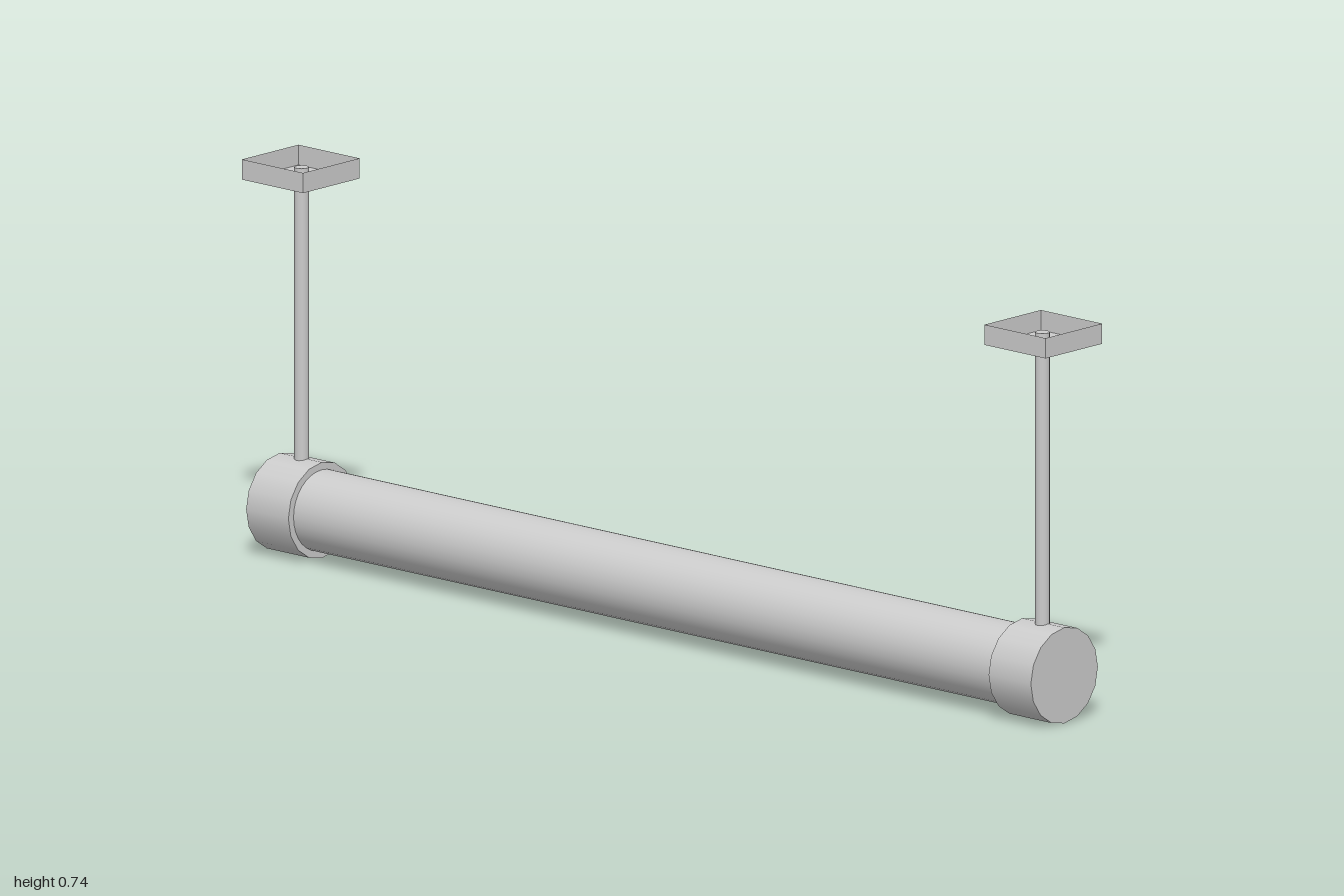
import * as THREE from 'three';

export function createModel() {
  const model = new THREE.Group();
  model.name = 'hangingTubeLamp';
  const grey = new THREE.MeshStandardMaterial({ color: 0xcccccc });
  const greyThin = new THREE.MeshStandardMaterial({ color: 0xcccccc, side: THREE.DoubleSide });

  const axisY = 0.09;   // height of the tube's axis
  const endX = 0.924;   // distance of each hanger from the middle

  function add(parent, name, geometry, material, x, y, z = 0) {
    const mesh = new THREE.Mesh(geometry, material);
    mesh.name = name;
    mesh.position.set(x, y, z);
    parent.add(mesh);
    return mesh;
  }

  // long horizontal tube
  const tube = new THREE.CylinderGeometry(0.076, 0.076, 1.8, 32).rotateZ(Math.PI / 2);
  add(model, 'tube', tube, grey, 0, axisY);

  // open-topped ceiling tray of thin sheet
  const size = 0.152, bottom = 0.704, height = 0.038;
  function addTray(parent, x) {
    const tray = new THREE.Group();
    tray.name = 'ceilingTray';
    tray.position.set(x, bottom, 0);
    parent.add(tray);
    add(tray, 'trayFloor', new THREE.PlaneGeometry(size, size).rotateX(-Math.PI / 2), greyThin, 0, 0);
    for (let i = 0; i < 4; i++) {
      const wall = new THREE.PlaneGeometry(size, height)
        .translate(0, height / 2, size / 2).rotateY(i * Math.PI / 2);
      add(tray, 'trayWall', wall, greyThin, 0, 0);
    }
  }

  // end cap, rod and tray on each side
  const rodTop = 0.727, rodBottom = 0.16;
  for (const side of [-1, 1]) {
    const hanger = new THREE.Group();
    hanger.name = side > 0 ? 'leftHanger' : 'rightHanger';
    model.add(hanger);
    const cap = new THREE.CylinderGeometry(0.09, 0.09, 0.105, 16).rotateZ(Math.PI / 2);
    add(hanger, 'endCap', cap, grey, side * endX, axisY);
    const rod = new THREE.CylinderGeometry(0.0135, 0.0135, rodTop - rodBottom, 16);
    add(hanger, 'rod', rod, grey, side * (endX - 0.002), (rodTop + rodBottom) / 2);
    addTray(hanger, side * endX);
  }

  return model;
}
